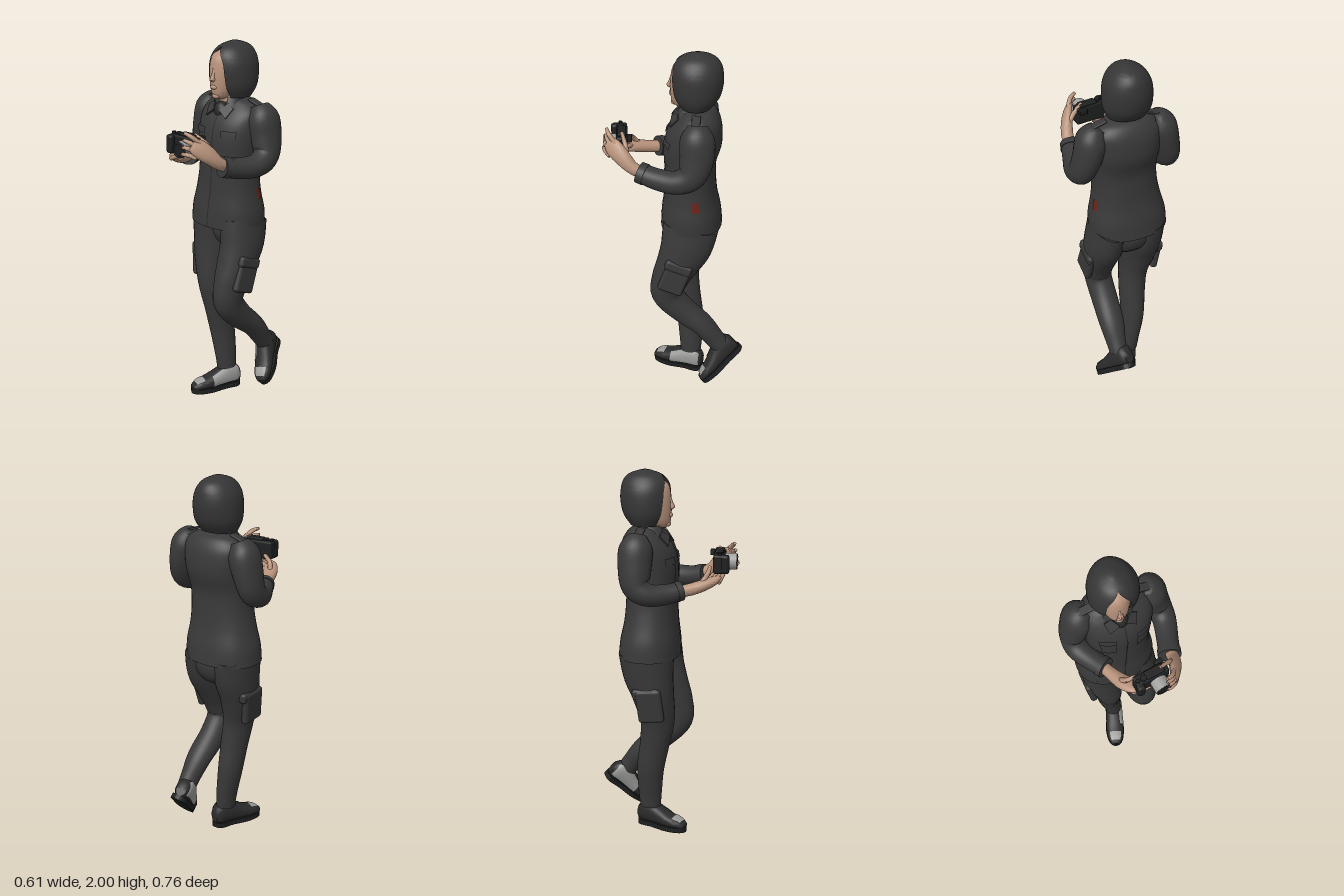
import * as THREE from 'three';
import { toCreasedNormals } from 'three/addons/utils/BufferGeometryUtils.js';
import { RoundedBoxGeometry } from 'three/addons/geometries/RoundedBoxGeometry.js';

const mat = (name, color, side = THREE.FrontSide) => {
  const m = new THREE.MeshStandardMaterial({ color, side });
  m.name = name;
  return m;
};
const cloth = mat('cloth', 0x393939, THREE.DoubleSide);
const seam = mat('seam', 0x2a2a2a, THREE.DoubleSide);
const hairMat = mat('hair', 0x353535, THREE.DoubleSide);
const skin = mat('skin', 0xb8937c);
const shoeMat = mat('shoe', 0x2b2b2b);
const grey = mat('shoeGrey', 0x9a9a98, THREE.DoubleSide);
const black = mat('cameraBlack', 0x1e1f20);
const silver = mat('lensSilver', 0xa0a09e);
const red = mat('badgeRed', 0x6e2219, THREE.DoubleSide);

const X = new THREE.Vector3(1, 0, 0), Y = new THREE.Vector3(0, 1, 0), Z = new THREE.Vector3(0, 0, 1);

// Catmull-Rom value of all components of the control rows at s in 0..1
function sample(rows, s) {
  const f = Math.min(Math.max(s, 0), 1) * (rows.length - 1);
  const i = Math.min(Math.floor(f), rows.length - 2), t = f - i;
  const row = (k) => rows[Math.min(Math.max(k, 0), rows.length - 1)];
  return rows[0].map((_, c) => {
    const [a, b, d, e] = [row(i - 1)[c], row(i)[c], row(i + 1)[c], row(i + 2)[c]];
    return 0.5 * (2 * b + (d - a) * t + (2 * a - 5 * b + 4 * d - e) * t * t + (3 * b - a - 3 * d + e) * t * t * t);
  });
}

// Skin through elliptical rings. Rows: x, y, z, radius along side, other radius, [gap half-angle]
function loft(rows, { axis = null, side = X, from = 0, to = 1, arc = null, grow = 0, power = 2, segs = 28, turn = 0, capStart = !arc, capEnd = !arc } = {}) {
  const n = Math.max(4, Math.round((rows.length - 1) * 5 * (to - from)));
  const pos = [], idx = [], w = segs + 1;
  const bend = (v) => Math.sign(v) * Math.abs(v) ** (2 / power);
  const at = (s) => new THREE.Vector3(...sample(rows, s).slice(0, 3));
  for (let j = 0; j <= n; j++) {
    const s = from + (to - from) * j / n;
    const [x, y, z, a, b, gap = 0] = sample(rows, s);
    const t = axis || at(s + 0.01).sub(at(s - 0.01)).normalize();
    const u = side.clone().addScaledVector(t, -side.dot(t)).normalize();
    const v = t.clone().cross(u);
    const g = Math.max(gap, 0);
    const [a0, a1] = arc || [-Math.PI / 2 + g + turn, Math.PI * 1.5 - g + turn];
    for (let i = 0; i <= segs; i++) {
      const th = a0 + (a1 - a0) * i / segs;
      const p = new THREE.Vector3(x, y, z)
        .addScaledVector(u, (Math.max(a, 0.001) + grow) * bend(Math.cos(th)))
        .addScaledVector(v, (Math.max(b, 0.001) + grow) * bend(Math.sin(th)));
      pos.push(p.x, p.y, p.z);
      if (i < segs && j < n) {
        const k = j * w + i;
        idx.push(k, k + 1, k + w + 1, k, k + w + 1, k + w);
      }
    }
  }
  // Close the ends with fans
  const cap = (s, base, end) => {
    const c = pos.length / 3;
    pos.push(...sample(rows, s).slice(0, 3));
    for (let i = 0; i < segs; i++) idx.push(c, base + i + (end ? 0 : 1), base + i + (end ? 1 : 0));
  };
  if (capStart) cap(from, 0, false);
  if (capEnd) cap(to, n * w, true);
  const g = new THREE.BufferGeometry();
  g.setAttribute('position', new THREE.Float32BufferAttribute(pos, 3));
  g.setIndex(idx);
  g.computeVertexNormals();
  return toCreasedNormals(g, 1);
}

function add(parent, name, geo, material, p = [0, 0, 0], r = [0, 0, 0]) {
  const m = new THREE.Mesh(geo, material);
  m.name = name;
  m.position.set(...p);
  m.rotation.set(...r);
  parent.add(m);
}

const ball = (x, y, z) => new THREE.SphereGeometry(1, 20, 14).scale(x, y, z);
const finger = (a, b, c, r) => loft([[...a, r, r], [...b, r, r], [...c, r * 0.7, r * 0.7]], { side: Y, segs: 10 });

// Shoe: heel to toe along +z, ankle above the origin; inner is the side of the grey panel
function shoe(name, inner) {
  const g = new THREE.Group();
  g.name = name;
  const rows = [[0, 0.065, -0.078, 0.03, 0.04], [0, 0.075, -0.05, 0.045, 0.06], [0, 0.078, 0, 0.049, 0.064],
    [0, 0.064, 0.06, 0.05, 0.05], [0, 0.05, 0.12, 0.052, 0.036], [0, 0.042, 0.18, 0.045, 0.026], [0, 0.034, 0.213, 0.026, 0.014]];
  const opt = { axis: Z, power: 2.3 };
  add(g, 'upper', loft(rows, opt), shoeMat);
  const arc = inner > 0 ? [-0.5, 1.0] : [Math.PI - 1.0, Math.PI + 0.5];
  add(g, 'innerPanel', loft(rows, { ...opt, from: 0.08, to: 0.62, arc, grow: 0.003, segs: 10 }), grey);
  add(g, 'toePatch', loft(rows, { ...opt, from: 0.74, to: 0.9, arc: [0.9, 2.2], grow: 0.003, segs: 10 }), grey);
  const outline = new THREE.Shape();
  outline.setFromPoints(new THREE.CatmullRomCurve3([[0, -0.085], [0.042, -0.06], [0.044, 0.02], [0.055, 0.12], [0.035, 0.2],
    [0, 0.22], [-0.035, 0.2], [-0.055, 0.12], [-0.044, 0.02], [-0.042, -0.06]].map(([x, y]) => new THREE.Vector3(x, y, 0)), true).getPoints(40));
  const sole = new THREE.ExtrudeGeometry(outline, { depth: 0.028, bevelEnabled: false });
  add(g, 'sole', sole, black, [0, 0.028, 0], [Math.PI / 2, 0, 0]);
  return g;
}

function buildCamera() {
  const g = new THREE.Group();
  g.name = 'handheldCamera';
  const cyl = (r, h) => new THREE.CylinderGeometry(r, r, h, 28);
  add(g, 'cameraBody', new RoundedBoxGeometry(0.185, 0.1, 0.06, 3, 0.012), black);
  add(g, 'grip', new RoundedBoxGeometry(0.042, 0.1, 0.045, 3, 0.015), black, [-0.075, 0, 0.032]);
  add(g, 'topPlate', new RoundedBoxGeometry(0.1, 0.02, 0.045, 2, 0.006), black, [0.02, 0.052, 0]);
  add(g, 'viewfinder', new RoundedBoxGeometry(0.042, 0.03, 0.025, 2, 0.005), black, [0.065, 0.035, -0.04]);
  for (const [x, r] of [[-0.045, 0.016], [-0.078, 0.01]]) add(g, 'dial', cyl(r, 0.012), black, [x, 0.054, 0.005]);
  add(g, 'lensBarrel', cyl(0.043, 0.062), silver, [0.025, -0.005, 0.058], [Math.PI / 2, 0, 0]);
  add(g, 'lensRim', new THREE.TorusGeometry(0.037, 0.006, 10, 32), black, [0.025, -0.005, 0.088]);
  add(g, 'lensGlass', cyl(0.037, 0.006), black, [0.025, -0.005, 0.088], [Math.PI / 2, 0, 0]);
  g.position.set(0.028, 1.522, 0.282);
  g.rotation.y = 0.12;
  return g;
}

export function createModel() {
  const model = new THREE.Group();
  model.name = 'walkingPhotographer';

  // Jacket with placket, pockets and side badge
  const body = [[-0.027, 1.01, -0.082, 0.214, 0.165], [-0.023, 1.1, -0.08, 0.21, 0.158], [-0.018, 1.2, -0.076, 0.188, 0.142],
    [-0.012, 1.3, -0.074, 0.174, 0.136], [-0.008, 1.4, -0.075, 0.175, 0.136], [-0.005, 1.5, -0.088, 0.185, 0.15],
    [-0.005, 1.58, -0.097, 0.19, 0.142], [-0.003, 1.64, -0.108, 0.182, 0.118], [-0.005, 1.685, -0.112, 0.14, 0.085], [-0.01, 1.705, -0.1, 0.085, 0.06]];
  const jacketOpt = { axis: Y, power: 2.25 };
  const front = Math.PI * 1.5;
  add(model, 'jacket', loft(body, { ...jacketOpt, segs: 40 }), cloth);
  add(model, 'placket', loft(body, { ...jacketOpt, to: 0.74, arc: [front - 0.012, front + 0.012], grow: 0.003, segs: 2 }), seam);
  for (const s of [-1, 1]) {
    const c = front + s * 0.5;
    add(model, 'chestPocket', loft(body, { ...jacketOpt, from: 0.46, to: 0.58, arc: [c - 0.24, c + 0.24], grow: 0.004, segs: 8 }), cloth);
    add(model, 'pocketFlap', loft(body, { ...jacketOpt, from: 0.58, to: 0.63, arc: [c - 0.25, c + 0.25], grow: 0.008, segs: 8 }), cloth);
  }
  add(model, 'sideBadge', loft(body, { ...jacketOpt, from: 0.19, to: 0.255, arc: [0.1, 0.33], grow: 0.004, segs: 6 }), red);

  // Collar and shoulder straps
  add(model, 'collar', loft([[-0.01, 1.65, -0.08, 0.108, 0.1, 0.6], [-0.012, 1.685, -0.08, 0.09, 0.085, 0.55], [-0.014, 1.715, -0.08, 0.074, 0.07, 0.5]],
    { axis: Y, capStart: false, capEnd: false }), cloth);
  for (const s of [-1, 1]) {
    const flap = new THREE.Shape([[0.015, -0.005], [0.05, 0.045], [0.09, 0.025], [0.07, -0.04]].map(([x, y]) => new THREE.Vector2(x * s, y)));
    add(model, 'collarFlap', new THREE.ExtrudeGeometry(flap, { depth: 0.01, bevelEnabled: false }), cloth, [-0.012, 1.655, 0.018], [-0.6, s * 0.3, 0]);
    add(model, 'shoulderStrap', new RoundedBoxGeometry(0.1, 0.012, 0.045, 2, 0.005), cloth, [s * 0.155, 1.692, -0.11], [0, 0, -s * 0.3]);
  }
  add(model, 'undershirt', ball(0.045, 0.05, 0.04), seam, [-0.012, 1.64, -0.015]);

  // Sleeves
  const sleeves = {
    leftSleeve: [[0.16, 1.68, -0.12, 0.045, 0.05], [0.188, 1.62, -0.12, 0.08, 0.088], [0.212, 1.52, -0.12, 0.075, 0.088],
      [0.234, 1.43, -0.095, 0.066, 0.075], [0.236, 1.39, -0.02, 0.062, 0.062], [0.21, 1.39, 0.08, 0.057, 0.056], [0.18, 1.412, 0.178, 0.057, 0.05]],
    rightSleeve: [[-0.165, 1.68, -0.12, 0.045, 0.05], [-0.193, 1.62, -0.12, 0.08, 0.088], [-0.22, 1.52, -0.12, 0.075, 0.088],
      [-0.24, 1.43, -0.11, 0.064, 0.075], [-0.235, 1.385, -0.05, 0.062, 0.06], [-0.19, 1.38, 0.035, 0.056, 0.054], [-0.143, 1.395, 0.11, 0.053, 0.048]],
  };
  for (const [name, rows] of Object.entries(sleeves)) {
    add(model, name, loft(rows), cloth);
    add(model, 'cuff', loft(rows, { from: 0.93, grow: 0.004 }), cloth);
  }

  // Trousers
  const legs = {
    leftTrouserLeg: [[0.085, 1.04, -0.085, 0.1, 0.15], [0.098, 0.92, -0.062, 0.1, 0.14], [0.1, 0.8, -0.012, 0.098, 0.115],
      [0.098, 0.7, 0.028, 0.085, 0.1], [0.095, 0.6, 0.042, 0.075, 0.088], [0.092, 0.5, -0.035, 0.073, 0.075],
      [0.095, 0.4, -0.15, 0.07, 0.062], [0.098, 0.31, -0.22, 0.055, 0.056], [0.098, 0.26, -0.258, 0.05, 0.053]],
    rightTrouserLeg: [[-0.115, 1.04, -0.085, 0.118, 0.15], [-0.112, 0.92, -0.075, 0.112, 0.138], [-0.108, 0.8, -0.05, 0.103, 0.115],
      [-0.088, 0.65, -0.03, 0.08, 0.095], [-0.074, 0.5, -0.05, 0.072, 0.082], [-0.066, 0.35, -0.075, 0.064, 0.075],
      [-0.046, 0.2, -0.082, 0.054, 0.065], [-0.038, 0.12, -0.082, 0.05, 0.058]],
  };
  for (const [name, rows] of Object.entries(legs)) add(model, name, loft(rows), cloth);
  add(model, 'trouserSeat', ball(0.17, 0.13, 0.13), cloth, [-0.015, 0.99, -0.1]);
  for (const [x, y, z, tilt, lean] of [[0.18, 0.76, -0.005, -0.35, 0.03], [-0.195, 0.76, -0.05, -0.1, 0.13]]) {
    add(model, 'cargoPocket', new RoundedBoxGeometry(0.04, 0.19, 0.14, 3, 0.018), cloth, [x, y, z], [tilt, 0, lean]);
    add(model, 'cargoFlap', new RoundedBoxGeometry(0.05, 0.06, 0.15, 3, 0.018), cloth, [x, y + 0.07, z - 0.02], [tilt, 0, lean]);
  }

  // Shoes: right planted, left lifting off on its toe
  const planted = shoe('rightShoe', 1);
  planted.position.set(-0.035, 0, -0.075);
  planted.rotation.y = -0.32;
  const F = new THREE.Vector3(0.35, -0.64, 0.69).normalize();
  const U = new THREE.Vector3(0, 0.73, 0.68).projectOnPlane(F).normalize();
  const lifted = shoe('leftShoe', -1);
  lifted.quaternion.setFromRotationMatrix(new THREE.Matrix4().makeBasis(U.clone().cross(F), U, F));
  lifted.position.set(0.096, 0.182, -0.32);
  model.add(planted, lifted);

  // Head, neck and face
  add(model, 'neck', loft([[-0.012, 1.6, -0.09, 0.06, 0.06], [-0.015, 1.68, -0.08, 0.052, 0.055], [-0.018, 1.78, -0.075, 0.052, 0.055]]), skin);
  add(model, 'head', loft([[-0.026, 1.703, -0.025, 0.022, 0.03], [-0.026, 1.73, -0.036, 0.05, 0.062], [-0.026, 1.79, -0.05, 0.071, 0.083],
    [-0.026, 1.87, -0.055, 0.078, 0.085], [-0.024, 1.93, -0.07, 0.07, 0.082], [-0.02, 1.965, -0.09, 0.03, 0.04]], { axis: Y }), skin);
  add(model, 'nose', loft([[-0.029, 1.872, 0.022, 0.008, 0.008], [-0.029, 1.835, 0.03, 0.01, 0.012], [-0.03, 1.812, 0.034, 0.015, 0.018], [-0.03, 1.8, 0.03, 0.009, 0.01]],
    { axis: Y.clone().negate() }), skin);
  add(model, 'lips', ball(0.022, 0.012, 0.01), skin, [-0.029, 1.77, 0.03]);
  add(model, 'chin', ball(0.024, 0.016, 0.018), skin, [-0.027, 1.722, 0.012]);

  // Bobbed hair, open around the face
  add(model, 'hair', loft([[-0.012, 1.715, -0.102, 0.104, 0.085, 0.66], [-0.012, 1.77, -0.105, 0.127, 0.12, 0.56], [-0.012, 1.84, -0.107, 0.13, 0.134, 0.52],
    [-0.012, 1.9, -0.107, 0.122, 0.132, 0.46], [-0.012, 1.945, -0.108, 0.1, 0.118, 0.26], [-0.012, 1.978, -0.11, 0.068, 0.085, 0],
    [-0.012, 2.0, -0.11, 0.018, 0.022, 0]], { axis: Y, segs: 40, turn: -0.12, capStart: false }), hairMat);

  // Hands around the camera
  add(model, 'leftHand', loft([[0.19, 1.405, 0.14, 0.03, 0.03], [0.188, 1.44, 0.21, 0.032, 0.034], [0.17, 1.49, 0.265, 0.03, 0.045], [0.145, 1.53, 0.31, 0.022, 0.048], [0.125, 1.555, 0.335, 0.014, 0.035]]), skin);
  add(model, 'rightHand', loft([[-0.155, 1.388, 0.09, 0.03, 0.03], [-0.125, 1.4, 0.16, 0.034, 0.032], [-0.095, 1.418, 0.22, 0.042, 0.03], [-0.06, 1.435, 0.265, 0.042, 0.024], [-0.035, 1.445, 0.285, 0.03, 0.014]]), skin);
  for (let i = 0; i < 4; i++) {
    add(model, 'leftFinger', finger([0.15, 1.55 - 0.022 * i, 0.295 + 0.012 * i], [0.12, 1.59 - 0.03 * i, 0.335 + 0.008 * i], [0.085, 1.608 - 0.036 * i, 0.352 + 0.006 * i], 0.012), skin);
    add(model, 'rightFinger', finger([-0.075, 1.43, 0.235 + 0.02 * i], [-0.03, 1.45, 0.25 + 0.018 * i], [0.018, 1.462, 0.255 + 0.018 * i], 0.012), skin);
  }
  add(model, 'leftThumb', finger([0.17, 1.49, 0.24], [0.14, 1.54, 0.25], [0.08, 1.585, 0.275], 0.013), skin);
  add(model, 'rightThumb', finger([-0.11, 1.42, 0.2], [-0.085, 1.47, 0.235], [-0.04, 1.505, 0.243], 0.013), skin);
  model.add(buildCamera());
  return model;
}
